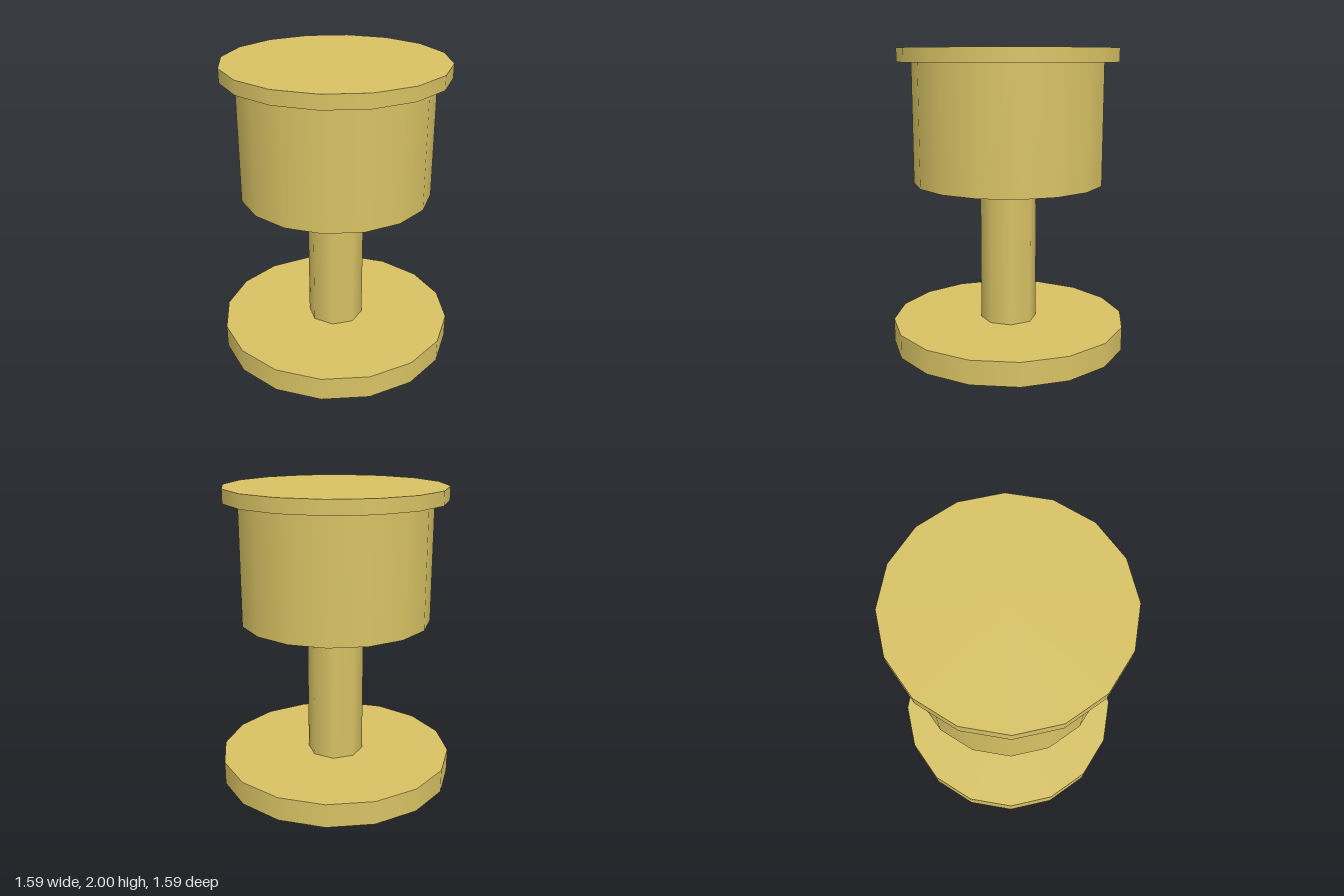
import * as THREE from 'three';

export function createModel() {
  const group = new THREE.Group();
  const brass = new THREE.MeshStandardMaterial({ color: 0xd8c264 });

  // Upright cylinder spanning two heights
  const addDisc = (name, radius, bottom, top, sides) => {
    const height = top - bottom;
    const mesh = new THREE.Mesh(new THREE.CylinderGeometry(radius, radius, height, sides), brass);
    mesh.position.y = bottom + height / 2;
    mesh.name = name;
    group.add(mesh);
  };

  addDisc('base', 0.795, 0, 0.16, 16);
  addDisc('stem', 0.19, 0.16, 1.115, 8);
  addDisc('cup', 0.635, 1.115, 1.91, 16);
  addDisc('rim', 0.73, 1.91, 2, 16);

  return group;
}
